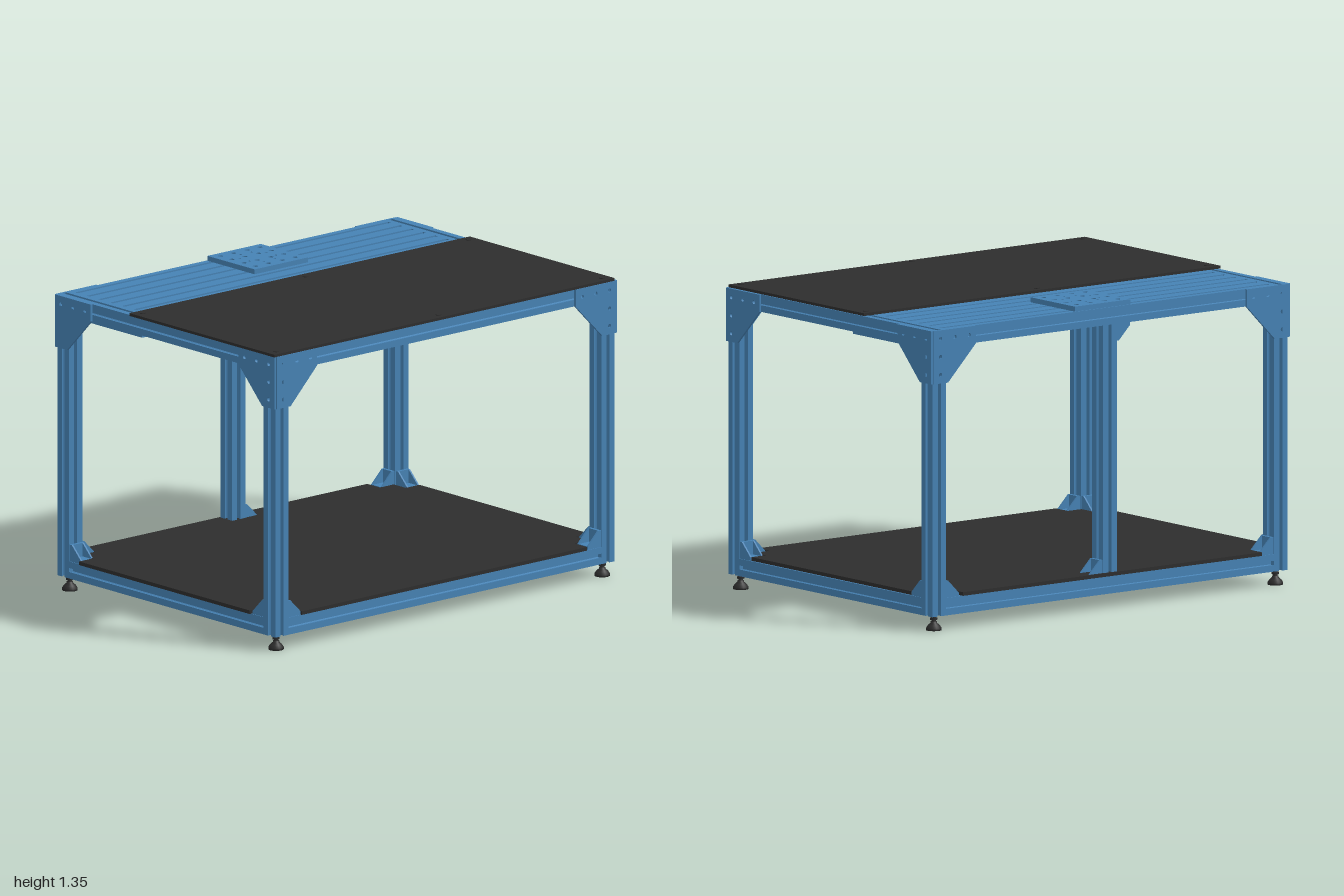
import * as THREE from 'three';
import { mergeGeometries } from 'three/addons/utils/BufferGeometryUtils.js';

const S = 0.077, H = S / 2;            // extrusion profile size
const PX = 0.9485, PZ = 0.677;         // post centres
const Y0 = 0.065, RAIL_LOW = Y0 + H, Y1 = 1.33, RAIL_TOP = Y1 - H;

export function createModel() {
  const blue = new THREE.MeshStandardMaterial({ color: 0x4682b4 });
  blue.name = 'steelBlue';
  const black = new THREE.MeshStandardMaterial({ color: 0x2d2d2d });
  black.name = 'boardBlack';

  const root = new THREE.Group();
  root.name = 'workstationFrame';
  const model = new THREE.Group();
  model.name = 'frame';
  model.position.x = -0.0015;
  root.add(model);

  const add = (name, geo, mat, x, y, z) => {
    const m = new THREE.Mesh(geo, mat);
    m.name = name;
    m.position.set(x, y, z);
    model.add(m);
    return m;
  };
  const shapeOf = pts => new THREE.Shape(pts.map(p => new THREE.Vector2(p[0], p[1])));
  const circle = (x, y, r) => new THREE.Path().absarc(x, y, r, 0, Math.PI * 2, true);

  // Extrude centred on its thickness; the plane says where shape u and v point
  const slab = (shape, depth, plane = 'xy') => {
    const g = new THREE.ExtrudeGeometry(shape, { depth, bevelEnabled: false, curveSegments: 6 });
    g.translate(0, 0, -depth / 2);
    if (plane === 'zy') g.rotateY(-Math.PI / 2);
    if (plane === 'xz') g.rotateX(Math.PI / 2);
    return g;
  };

  // T-slot profile: one side repeated four times
  const side = [[-H, -H], [-0.009, -H], [-0.009, -0.031], [-0.017, -0.031], [-0.009, -0.017],
    [0.009, -0.017], [0.017, -0.031], [0.009, -0.031], [0.009, -H]];
  const profilePts = [];
  for (let i = 0; i < 4; i++) {
    const c = [1, 0, -1, 0][i], s = [0, 1, 0, -1][i];
    for (const [u, v] of side) profilePts.push([u * c - v * s, u * s + v * c]);
  }
  const profile = shapeOf(profilePts);
  profile.holes.push(circle(0, 0, 0.006));
  const beam = (name, axis, length, x, y, z) => {
    const g = slab(profile, length);
    if (axis === 'x') g.rotateY(Math.PI / 2);
    if (axis === 'y') g.rotateX(Math.PI / 2);
    add(name, g, blue, x, y, z);
  };

  // Small angle bracket: L-shaped legs with two triangular webs
  const gusset = (plane, su, sv, x, y, z) => {
    const s = 0.075, t = 0.014;
    const sign = pts => shapeOf(pts.map(([u, v]) => [u * su, v * sv]));
    const legs = slab(sign([[0, 0], [s, 0], [s, t], [t, t], [t, s], [0, s]]), 0.064, plane);
    const parts = [legs];
    for (const k of [-1, 1]) {
      const web = slab(sign([[0, 0], [s, 0], [s, t], [t, s], [0, s]]), 0.008, plane);
      const o = k * 0.031;
      web.translate(plane === 'zy' ? o : 0, plane === 'xz' ? o : 0, plane === 'xy' ? o : 0);
      parts.push(web);
    }
    add('angleBracket', mergeGeometries(parts), blue, x, y, z);
  };

  // Large drilled corner plate; su points inwards along the rail
  const cornerPlate = (plane, su, x, y, z) => {
    const w = 0.235;
    const sh = shapeOf([[0, 0], [w, 0], [w, -0.077], [0.08, -w], [0, -w]].map(([u, v]) => [u * su, v]));
    for (const [u, v] of [[0.038, 0.038], [0.118, 0.038], [0.197, 0.038], [0.038, 0.118], [0.038, 0.197]])
      sh.holes.push(circle(u * su, -v, 0.009));
    add('cornerPlate', slab(sh, 0.01, plane), blue, x, y, z);
  };

  const innerX = PX - H, innerZ = PZ - H;
  const topLow = Y1 - S, railTop = Y0 + S;

  // Corner posts, plates, brackets and feet
  const footProfile = [[0, 0], [0.034, 0], [0.034, 0.01], [0.026, 0.022], [0.014, 0.032], [0.014, 0.038],
    [0.009, 0.038], [0.009, 0.066]].map(p => new THREE.Vector2(p[0], p[1]));
  for (const sx of [-1, 1]) for (const sz of [-1, 1]) {
    const x = sx * PX, z = sz * PZ;
    beam('cornerPost', 'y', topLow - Y0, x, (topLow + Y0) / 2, z);
    cornerPlate('xy', -sx, sx * (PX + H), Y1, sz * (PZ + H + 0.005));
    cornerPlate('zy', -sz, sx * (PX + H + 0.005), Y1, sz * (PZ + H + 0.005));
    gusset('xy', -sx, 1, sx * innerX, railTop, z);
    gusset('zy', -sz, 1, x, railTop, sz * innerZ);
    gusset('xz', -sx, -sz, sx * innerX, RAIL_LOW, sz * innerZ);
    if (sz > 0) gusset('xz', -sx, -1, sx * innerX, RAIL_TOP, innerZ);
    add('footPad', new THREE.LatheGeometry(footProfile, 20), black, x, 0, z);
    add('footNut', new THREE.CylinderGeometry(0.016, 0.016, 0.01, 6), black, x, 0.05, z);
  }

  // Rails
  for (const s of [-1, 1]) {
    beam('lowerCrossRail', 'x', innerX * 2, 0, RAIL_LOW, s * PZ);
    beam('lowerSideRail', 'z', innerZ * 2, s * PX, RAIL_LOW, 0);
    beam('upperSideRail', 'z', (PZ + H) * 2, s * PX, RAIL_TOP, 0);
  }
  beam('upperFrontRail', 'x', innerX * 2, 0, RAIL_TOP, PZ);

  // Slotted rear deck made of side-by-side extrusions
  const decks = 7;
  for (let i = 0; i < decks; i++) beam('deckBeam', 'x', innerX * 2, 0, RAIL_TOP, -PZ + i * S);
  const deckFront = -PZ - H + decks * S;
  for (const s of [-1, 1])
    add('deckJoiningPlate', new THREE.BoxGeometry(0.155, 0.01, 0.46), blue, s * 0.909, topLow - 0.005, -0.39);

  // Middle beams, rear post and their brackets
  beam('lowerMiddleBeam', 'z', innerZ * 2, 0, RAIL_LOW, 0);
  beam('upperMiddleBeam', 'z', innerZ - deckFront, 0, RAIL_TOP, (innerZ + deckFront) / 2);
  beam('rearMiddlePost', 'y', topLow - railTop, 0, (topLow + railTop) / 2, -PZ);
  gusset('xy', -1, -1, -H, topLow, -PZ);
  gusset('xy', 1, 1, H, railTop, -PZ);
  for (const s of [-1, 1]) {
    gusset('xz', s, -1, s * H, RAIL_LOW, innerZ);
    gusset('xz', s, 1, s * H, RAIL_LOW, -innerZ);
    gusset('xz', s, -1, s * H, RAIL_TOP, innerZ);
  }

  // Lower board, cut out around the posts and brackets
  const bx = 0.99, bz = 0.722;
  const corner = [[0.83, bz], [0.83, innerZ], [innerX, innerZ], [innerX, 0.56], [bx, 0.56]];
  const flip = (a, b) => corner.map(([u, v]) => [u * a, v * b]);
  const outline = [...flip(1, 1), ...flip(1, -1).reverse(), ...flip(-1, -1), ...flip(-1, 1).reverse()];
  add('lowerBoard', slab(shapeOf(outline), 0.016, 'xz'), black, -0.0085, railTop + 0.009, 0);

  // Top board with screws
  add('topBoard', new THREE.BoxGeometry(1.98, 0.012, 0.952), black, -0.0085, Y1 + 0.006, 0.246);
  for (const x of [-0.955, -0.01, 0.94]) for (const z of [-0.19, 0.685])
    add('boardScrew', new THREE.CylinderGeometry(0.013, 0.013, 0.004, 12), black, x, Y1 + 0.013, z);

  // Drilled mounting plate on the rear deck
  const m = 0.155;
  const mount = shapeOf([[-m, -m], [m, -m], [m, m], [-m, m]]);
  for (const u of [-0.115, -0.04, 0.04, 0.115]) for (const v of [-0.115, -0.04, 0.04, 0.115])
    mount.holes.push(circle(u, v, 0.012));
  for (let i = 0; i < 8; i++) {
    const a = (i + 0.5) * Math.PI / 4;
    mount.holes.push(circle(Math.cos(a) * 0.083, Math.sin(a) * 0.083, 0.006));
  }
  add('mountingPlate', slab(mount, 0.022, 'xz'), blue, 0.036, Y1 + 0.011, -0.555);

  return root;
}
